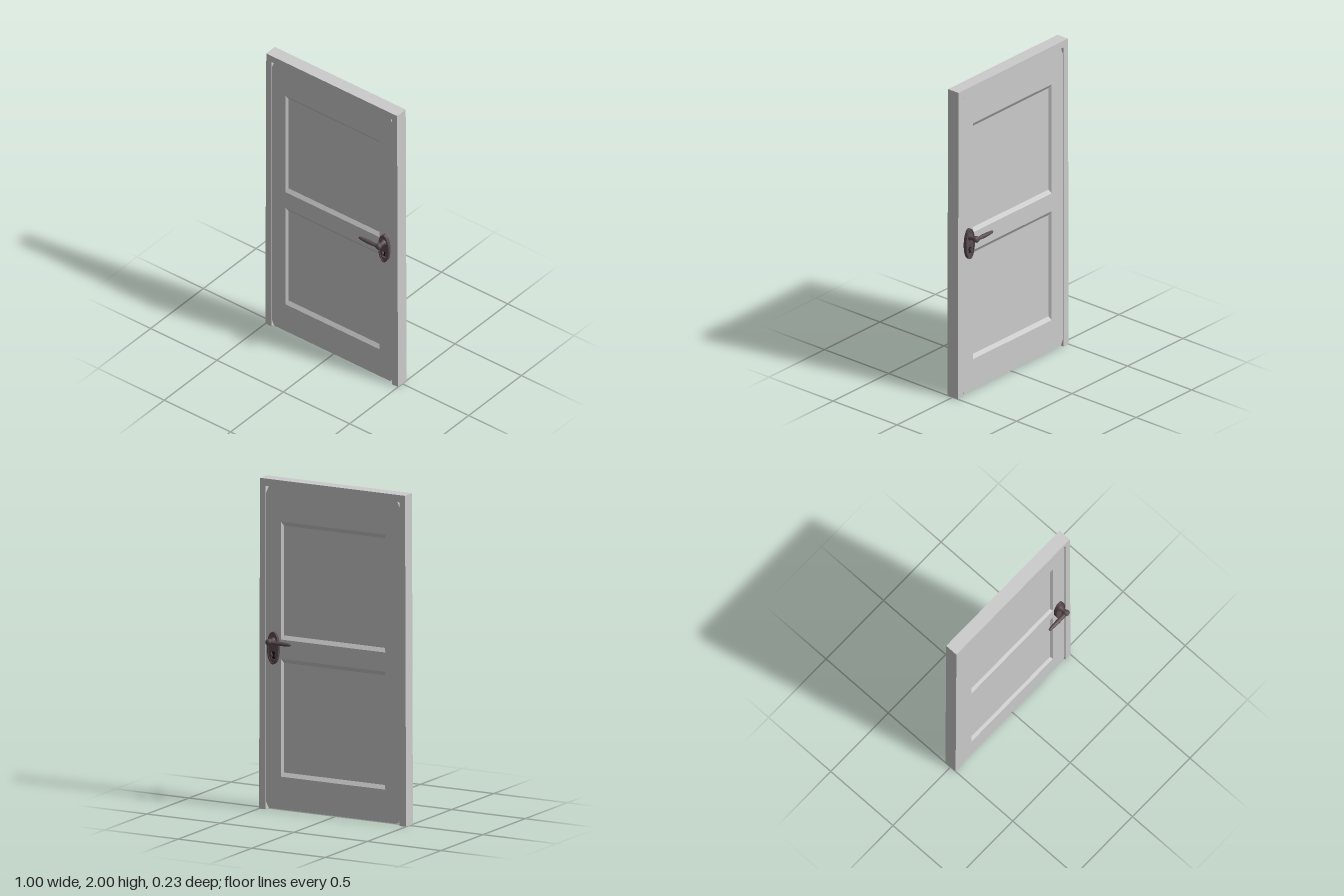
import * as THREE from 'three';

const wood = new THREE.MeshStandardMaterial({ color: 0xcccccc, flatShading: true });
const iron = new THREE.MeshStandardMaterial({ color: 0x5a4c50 });
const dark = new THREE.MeshStandardMaterial({ color: 0x181416 });

const FACE = 0.034;    // half thickness of the leaf
const RECESS = 0.018;  // half thickness of the sunken panels
const HX = 0.4;        // handle position across the door

function add(parent, name, geometry, material) {
  const mesh = new THREE.Mesh(geometry, material);
  mesh.name = name;
  parent.add(mesh);
  return mesh;
}

const points = (list) => list.map(([x, y]) => new THREE.Vector2(x, y));

// Extrusion centred on z = 0
function slab(shape, depth, curveSegments = 24) {
  return new THREE.ExtrudeGeometry(shape, { depth, bevelEnabled: false, curveSegments })
    .translate(0, 0, -depth / 2);
}

function rect(x, y0, y1) {
  return points([[-x, y0], [x, y0], [x, y1], [-x, y1]]);
}

// Four sloping strips from the opening down to the sunken panel, s = side of door
function bevelGeometry(y0, y1, s) {
  const outer = rect(0.355, y0, y1);
  const inner = rect(0.344, y0 + 0.024, y1 - 0.026);
  const pos = [];
  for (let i = 0; i < 4; i++) {
    const j = (i + 1) % 4;
    const a = [outer[i].x, outer[i].y, s * FACE], b = [outer[j].x, outer[j].y, s * FACE];
    const c = [inner[j].x, inner[j].y, s * RECESS], d = [inner[i].x, inner[i].y, s * RECESS];
    const quad = s > 0 ? [a, b, c, a, c, d] : [a, c, b, a, d, c];
    pos.push(...quad.flat());
  }
  const g = new THREE.BufferGeometry();
  g.setAttribute('position', new THREE.Float32BufferAttribute(pos, 3));
  g.computeVertexNormals();
  return g;
}

function keyhole() {
  const h = new THREE.Path();
  h.moveTo(-0.015, -0.068);
  h.lineTo(0.015, -0.068);
  h.lineTo(0.007, -0.042);
  h.absarc(0, -0.032, 0.013, -0.9, Math.PI + 0.9, false);
  h.lineTo(-0.015, -0.068);
  return h;
}

// Plate, spindle and lever on one side of the door (s = 1 front, -1 back)
function handle(s) {
  const g = new THREE.Group();
  g.name = s > 0 ? 'frontHandle' : 'backHandle';

  const plate = new THREE.Shape().absellipse(0, 0, 0.035, 0.094, 0, Math.PI * 2);
  plate.holes.push(keyhole());
  add(g, 'plate', slab(plate, 0.016), iron).position.set(HX, 0.983, s * 0.042);

  const rim = new THREE.Shape().absellipse(0, 0, 0.039, 0.098, 0, Math.PI * 2);
  rim.holes.push(new THREE.Path().absellipse(0, 0, 0.032, 0.09, 0, Math.PI * 2));
  add(g, 'plateRim', slab(rim, 0.021), iron).position.set(HX, 0.983, s * 0.0445);

  add(g, 'keyholeCore', new THREE.BoxGeometry(0.034, 0.056, 0.004), dark)
    .position.set(HX, 0.942, s * 0.035);

  // Spindle flaring into a rounded knob
  const spindle = new THREE.LatheGeometry(points([
    [0, 0.035], [0.02, 0.035], [0.02, 0.054], [0.014, 0.058], [0.013, 0.08], [0.017, 0.087],
    [0.02, 0.095], [0.02, 0.104], [0.017, 0.111], [0.01, 0.115], [0, 0.116]]), 20);
  const stem = add(g, 'spindle', spindle, iron);
  stem.rotation.x = s * Math.PI / 2;
  stem.position.set(HX, 1.028, 0);

  // Grip, swelling then tapering to a rounded tip
  const grip = new THREE.LatheGeometry(points([
    [0, 0], [0.013, 0.003], [0.011, 0.02], [0.0115, 0.04], [0.013, 0.065], [0.0125, 0.09],
    [0.011, 0.115], [0.009, 0.138], [0.006, 0.147], [0, 0.15]]), 16);
  const lever = add(g, 'lever', grip, iron);
  lever.rotation.z = Math.PI / 2;
  lever.position.set(HX, 1.026, s * 0.099);
  return g;
}

export function createModel() {
  const door = new THREE.Group();
  door.name = 'door';

  // Surround: two jambs and a head, slightly narrower at the top
  const surround = new THREE.Shape(points([
    [-0.5, 0], [-0.455, 0], [-0.455, 1.956], [0.455, 1.956],
    [0.455, 0], [0.5, 0], [0.493, 2], [-0.493, 2]]));
  add(door, 'surround', slab(surround, 0.082), wood);

  // Leaf with clipped corners and two openings
  const openings = [[0.207, 0.92], [1.036, 1.749]];
  const leaf = new THREE.Shape(points([
    [-0.437, 0.01], [0.437, 0.01], [0.455, 0.042], [0.455, 1.915],
    [0.437, 1.956], [-0.437, 1.956], [-0.455, 1.915], [-0.455, 0.042]]));
  for (const [y0, y1] of openings) leaf.holes.push(new THREE.Path(rect(0.355, y0, y1)));
  add(door, 'leaf', slab(leaf, FACE * 2), wood);

  // Sunken panels with sloping edges on both faces
  for (const [y0, y1] of openings) {
    add(door, 'panel', new THREE.BoxGeometry(0.71, y1 - y0, RECESS * 2), wood)
      .position.y = (y0 + y1) / 2;
    for (const s of [1, -1]) add(door, 'panelBevel', bevelGeometry(y0, y1, s), wood);
  }

  door.add(handle(1), handle(-1));
  return door;
}
